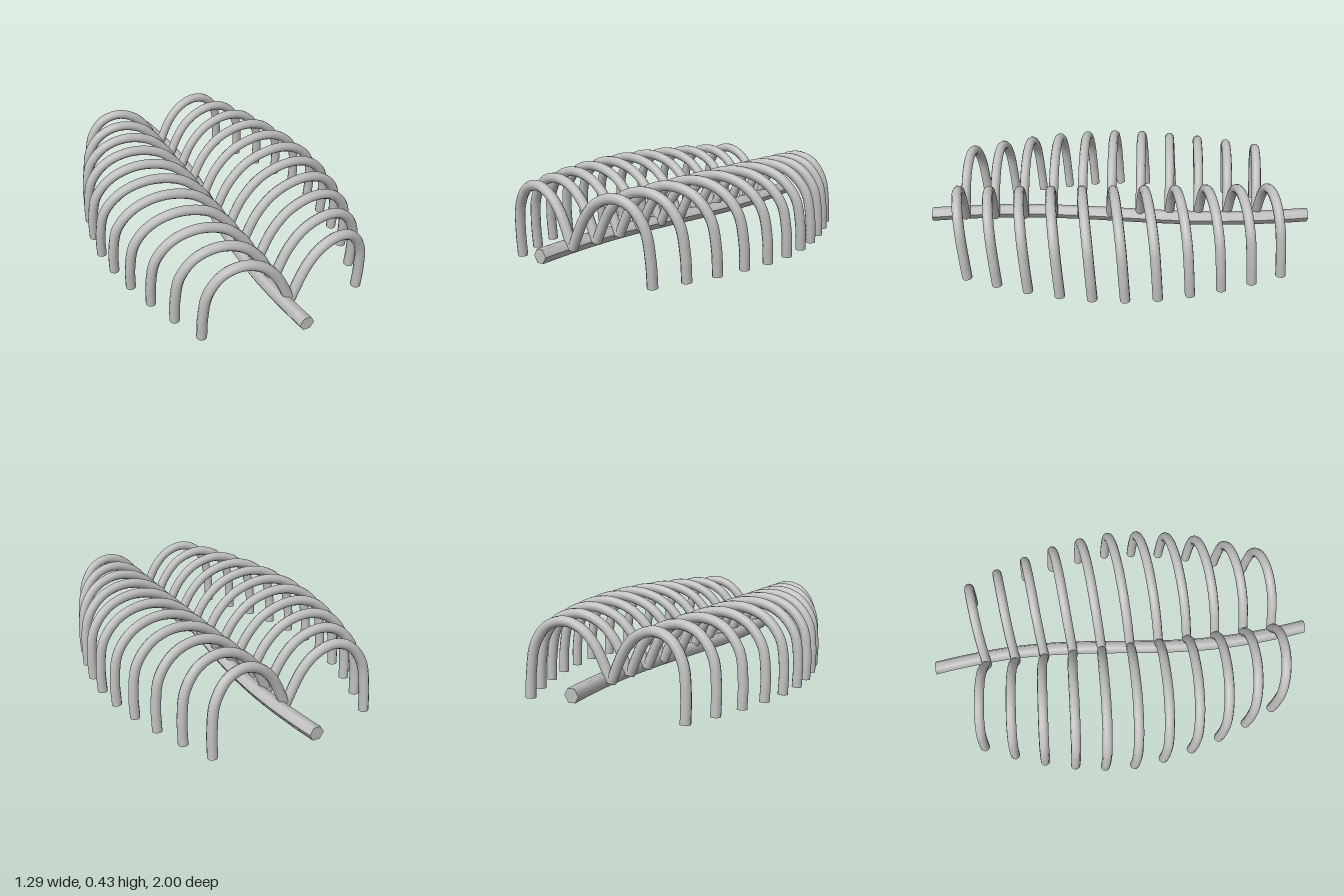
import * as THREE from 'three';

const bone = new THREE.MeshStandardMaterial({ color: 0xbfbfbf });
bone.name = 'bone grey';

// Tube with flat end caps, returned as a group
function cappedTube(points, radius, name) {
  const group = new THREE.Group();
  group.name = name;
  const curve = new THREE.CatmullRomCurve3(points);
  const tube = new THREE.Mesh(new THREE.TubeGeometry(curve, 36, radius, 10), bone);
  tube.name = name + 'Shaft';
  group.add(tube);
  for (const t of [0, 1]) {
    const cap = new THREE.Mesh(new THREE.CircleGeometry(radius, 10), bone);
    const out = curve.getTangent(t).multiplyScalar(t ? 1 : -1);
    cap.quaternion.setFromUnitVectors(new THREE.Vector3(0, 0, 1), out);
    cap.position.copy(curve.getPoint(t));
    cap.name = name + 'Cap';
    group.add(cap);
  }
  return group;
}

// Narrowest and widest rib profiles [x, y], and the backward lean shared by both
const narrow = [[0, 0.12], [0.08, 0.28], [0.15, 0.35], [0.24, 0.38], [0.33, 0.352], [0.395, 0.26], [0.415, 0.13], [0.417, 0.003]];
const wide = [[0, 0.12], [0.08, 0.27], [0.19, 0.367], [0.355, 0.406], [0.5, 0.367], [0.592, 0.27], [0.62, 0.13], [0.62, 0.003]];
const lean = [0, -0.005, -0.01, -0.018, -0.03, -0.043, -0.054, -0.063];
const spread = [0, 0.32, 0.59, 0.8, 0.94, 1];

export function createModel() {
  const model = new THREE.Group();
  model.name = 'ribCage';

  // Spine: six-sided rod bent gently from side to side
  const rod = new THREE.CylinderGeometry(0.036, 0.036, 2, 6, 32);
  rod.rotateY(Math.PI / 2).rotateX(Math.PI / 2);
  const pos = rod.attributes.position;
  for (let i = 0; i < pos.count; i++) {
    pos.setX(i, pos.getX(i) - 0.048 * Math.sin(2.75 * pos.getZ(i)));
  }
  rod.computeVertexNormals();
  const spine = new THREE.Mesh(rod, bone);
  spine.name = 'spine';
  spine.position.y = 0.122;
  model.add(spine);

  // Eleven pairs of ribs, widest in the middle
  for (let i = 0; i < 11; i++) {
    const k = spread[5 - Math.abs(i - 5)];
    const z = 0.822 - i * 0.155;
    for (const side of [1, -1]) {
      const points = narrow.map(([x, y], j) => new THREE.Vector3(
        side * THREE.MathUtils.lerp(x, wide[j][0], k),
        THREE.MathUtils.lerp(y, wide[j][1], k),
        z + lean[j]
      ));
      model.add(cappedTube(points, 0.025, side > 0 ? 'leftRib' : 'rightRib'));
    }
  }
  return model;
}
